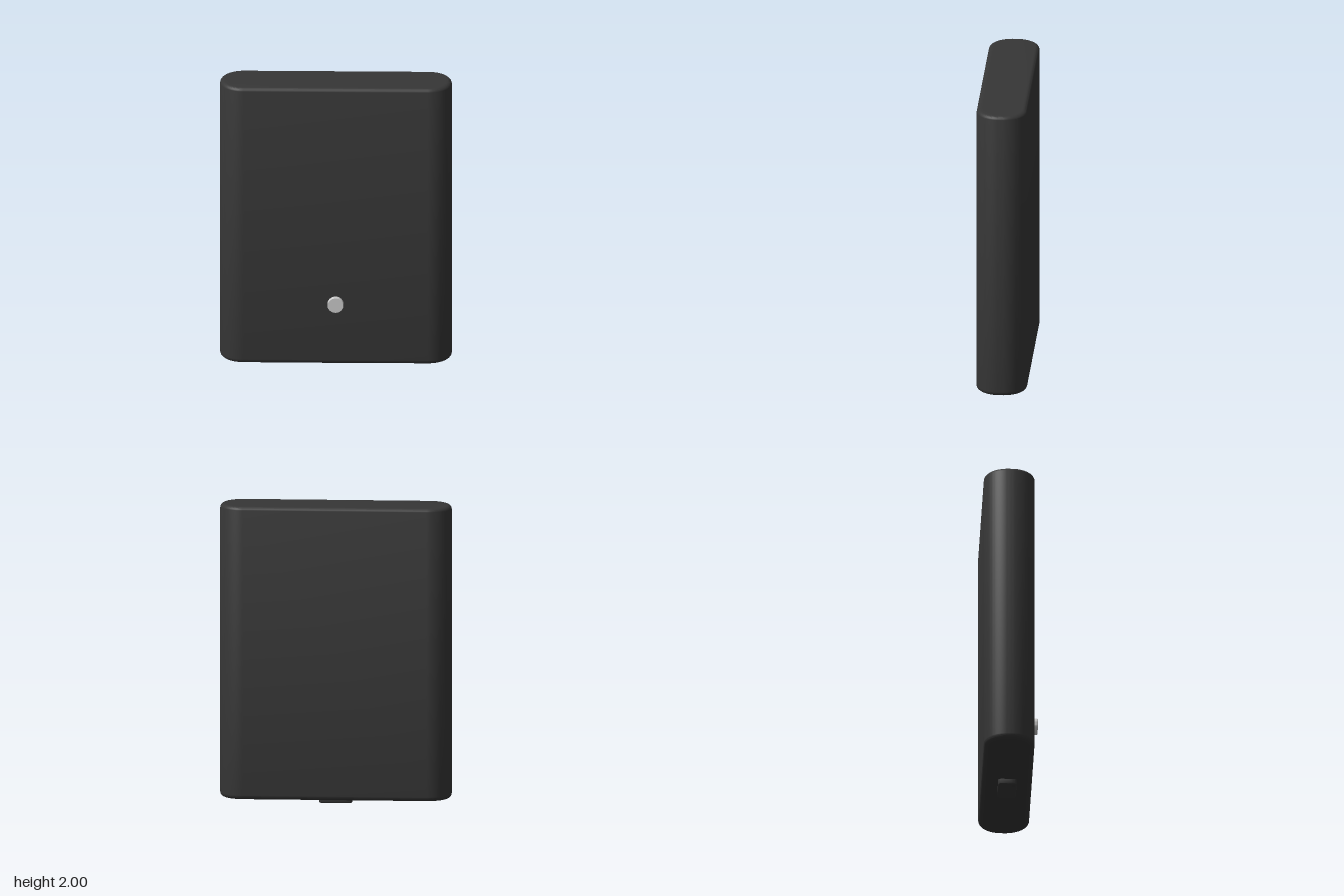
import * as THREE from 'three';
import { toCreasedNormals } from 'three/addons/utils/BufferGeometryUtils.js';

const dark = new THREE.MeshStandardMaterial({ color: 0x363636 });
const grey = new THREE.MeshStandardMaterial({ color: 0xcccccc });

// Upright slab: rounded-rectangle plan (w by d, corner radius r), softened top and bottom edges
function roundedSlab(w, d, r, y0, y1, bevel) {
  const x = w / 2, z = d / 2;
  const plan = new THREE.Shape();
  plan.moveTo(-x + r, -z);
  plan.lineTo(x - r, -z);
  plan.absarc(x - r, -z + r, r, -Math.PI / 2, 0);
  plan.lineTo(x, z - r);
  plan.absarc(x - r, z - r, r, 0, Math.PI / 2);
  plan.lineTo(-x + r, z);
  plan.absarc(-x + r, z - r, r, Math.PI / 2, Math.PI);
  plan.lineTo(-x, -z + r);
  plan.absarc(-x + r, -z + r, r, Math.PI, Math.PI * 1.5);
  const geo = new THREE.ExtrudeGeometry(plan, {
    depth: y1 - y0 - 2 * bevel,
    bevelThickness: bevel, bevelSize: bevel, bevelOffset: -bevel,
    bevelSegments: 6, curveSegments: 14,
  });
  geo.rotateX(-Math.PI / 2);
  geo.translate(0, y0 + bevel, 0);
  return toCreasedNormals(geo, 0.5);
}

function addPart(group, name, geometry, material, x, y, z) {
  const mesh = new THREE.Mesh(geometry, material);
  mesh.name = name;
  mesh.position.set(x, y, z);
  group.add(mesh);
  return mesh;
}

export function createModel() {
  const model = new THREE.Group();
  model.name = 'pocketCase';

  // Main case with nearly semicircular sides
  addPart(model, 'case', roundedSlab(1.53, 0.336, 0.157, 0.036, 2, 0.03), dark, 0, 0, -0.019);

  // Small connector block under the case
  addPart(model, 'connector', roundedSlab(0.22, 0.122, 0.02, 0, 0.08, 0.008), dark, 0, 0, -0.015);

  // Round button just proud of the front face
  const r = 0.054, t = 0.03, b = 0.003;
  const profile = [[0, 0], [r - b, 0], [r, b], [r, t - b], [r - b, t], [0, t]]
    .map(([px, py]) => new THREE.Vector2(px, py));
  const disc = toCreasedNormals(new THREE.LatheGeometry(profile, 40).toNonIndexed(), 0.5);
  const button = addPart(model, 'button', disc, grey, 0, 0.47, 0.157);
  button.rotation.x = Math.PI / 2;

  return model;
}
